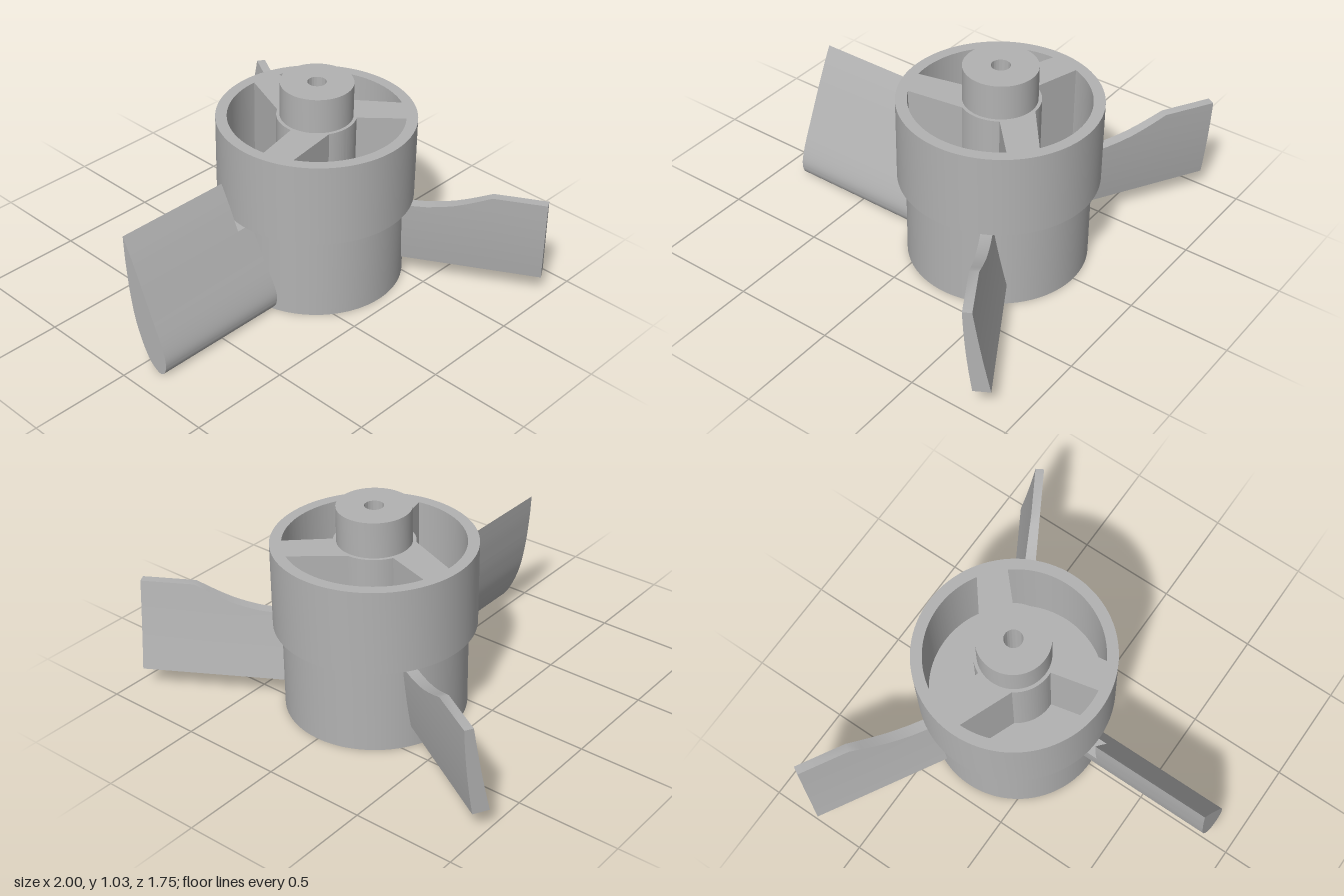
import * as THREE from 'three';
import { toCreasedNormals } from 'three/addons/utils/BufferGeometryUtils.js';

const AXIS_X = 0.005, AXIS_Z = -0.245; // rotor axis
const STEP_Y = 0.44, RIM_Y = 0.855, BOSS_Y = 1.03, TIP_R = 1.12;
const rad = THREE.MathUtils.degToRad;

function circlePath(r) {
  return new THREE.Path().absarc(0, 0, r, 0, Math.PI * 2, false);
}

// Extrude a plan shape upward between two heights
function extrudeUp(shape, y0, y1) {
  const g = new THREE.ExtrudeGeometry(shape, { depth: y1 - y0, bevelEnabled: false, curveSegments: 48 });
  g.rotateX(-Math.PI / 2);
  g.translate(0, y0, 0);
  return toCreasedNormals(g, 0.5);
}

// Extrude a blade section outward along z
function extrudeOut(points, r0, r1) {
  const g = new THREE.ExtrudeGeometry(new THREE.Shape(points), { depth: r1 - r0, bevelEnabled: false });
  g.translate(-AXIS_X, 0, r0);
  return toCreasedNormals(g, 0.6);
}

function spline(pairs, n) {
  return new THREE.SplineCurve(pairs.map(p => new THREE.Vector2(...p))).getPoints(n);
}

// Thin curved blade with a flat underside and a scooped upper edge
function scoopedBlade() {
  const stations = [[0.40, 0.44], [0.48, 0.44], [0.55, 0.445], [0.62, 0.458], [0.68, 0.474],
    [0.74, 0.496], [0.80, 0.522], [0.86, 0.55], [TIP_R, 0.55]];
  const rows = 8, count = 2 * (rows + 1), bottom = 0.11;
  const frontX = u => 0.002 - 0.071 * u + 0.026 * u * u;
  const backX = u => 0.083 - 0.098 * u + 0.015 * u * u;
  const pos = [], index = [];
  for (const [r, top] of stations) {
    for (let k = 0; k < count; k++) {
      const back = k <= rows;
      const j = back ? k : count - 1 - k;
      const y = bottom + (top - bottom) * j / rows;
      const u = (y - bottom) / 0.44;
      pos.push(back ? backX(u) : frontX(u), y, r);
    }
  }
  for (let i = 0; i < stations.length - 1; i++) {
    for (let k = 0; k < count; k++) {
      const a = i * count + k, b = i * count + (k + 1) % count;
      index.push(a, b, b + count, a, b + count, a + count);
    }
  }
  // Outer end
  const last = (stations.length - 1) * count;
  for (let j = 0; j < rows; j++) {
    const b = last + j, f = last + count - 1 - j;
    index.push(b, b + 1, f - 1, b, f - 1, f);
  }
  const g = new THREE.BufferGeometry();
  g.setAttribute('position', new THREE.Float32BufferAttribute(pos, 3));
  g.setIndex(index);
  return toCreasedNormals(g, 0.5);
}

export function createModel() {
  const grey = new THREE.MeshStandardMaterial({ color: 0xb2b2b2 });
  grey.name = 'plain grey';
  const model = new THREE.Group();
  model.name = 'rotor';
  const rotor = new THREE.Group();
  rotor.name = 'rotorOnAxis';
  rotor.position.set(AXIS_X, 0, AXIS_Z);
  model.add(rotor);

  const add = (name, geometry, parent = rotor) => {
    const mesh = new THREE.Mesh(geometry, grey);
    mesh.name = name;
    parent.add(mesh);
    return mesh;
  };

  // Solid lower hub; its top is the floor of the pockets
  const lower = new THREE.CylinderGeometry(0.435, 0.435, STEP_Y, 96);
  lower.translate(0, STEP_Y / 2, 0);
  add('lowerHub', lower);

  // Wider upper hub: rim, three slanted spokes and core around the bore
  const upper = new THREE.Shape().absarc(0, 0, 0.477, 0, Math.PI * 2, false);
  upper.holes.push(circlePath(0.045));
  for (let i = 0; i < 3; i++) {
    const a = i * 120;
    const pocket = new THREE.Path();
    pocket.absarc(0, 0, 0.4225, rad(a + 59.5), rad(a + 159.2), false);
    pocket.absarc(0, 0, 0.19, rad(a + 154.8), rad(a + 91.5), true);
    upper.holes.push(pocket);
  }
  add('spokedUpperHub', extrudeUp(upper, STEP_Y, RIM_Y));

  // Shaft boss with bore
  const boss = new THREE.Shape().absarc(0, 0, 0.174, 0, Math.PI * 2, false);
  boss.holes.push(circlePath(0.045));
  add('shaftBoss', extrudeUp(boss, RIM_Y, BOSS_Y));

  // Front blade: full teardrop section, notched to clear the rim
  const frontBlade = new THREE.Group();
  frontBlade.name = 'frontBlade';
  rotor.add(frontBlade);
  const lowerSection = spline([[-0.083, STEP_Y], [-0.072, 0.36], [-0.048, 0.24], [-0.01, 0.135],
    [0.037, 0.05], [0.08, 0.012], [0.115, 0.002], [0.14, 0.022], [0.15, 0.06], [0.145, 0.11],
    [0.117, 0.19], [0.064, 0.31], [0.006, STEP_Y]], 60);
  const upperSection = [
    ...spline([[0.006, STEP_Y], [-0.05, 0.56], [-0.1, 0.657]], 10),
    ...spline([[-0.1, 0.657], [-0.094, 0.55], [-0.083, STEP_Y]], 10).slice(1),
  ];
  add('frontBladeLower', extrudeOut(lowerSection, 0.36, TIP_R), frontBlade);
  add('frontBladeUpper', extrudeOut(upperSection, 0.522, TIP_R), frontBlade);

  // Two shorter scooped blades
  const scooped = scoopedBlade();
  add('leftRearBlade', scooped).rotation.y = rad(120);
  add('rightRearBlade', scooped).rotation.y = rad(-120);

  return model;
}
